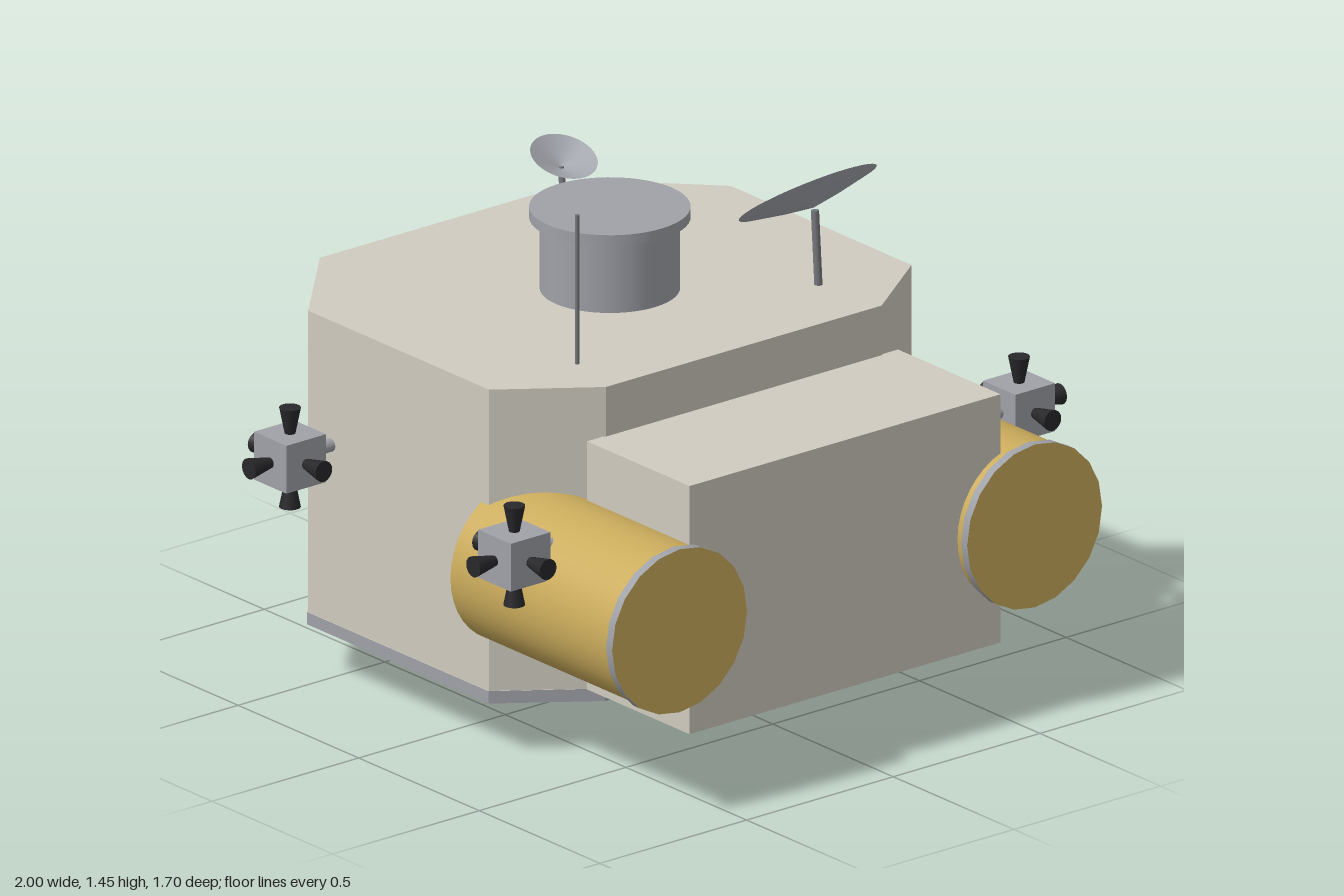
import * as THREE from 'three';

const mat = (color, side = THREE.FrontSide) => new THREE.MeshStandardMaterial({ color, side });

export function createModel() {
  const model = new THREE.Group();
  const hull = mat(0xcfcbbf), grey = mat(0x9fa1a8), gold = mat(0xcbac5c);
  const dark = mat(0x28282b), metal = mat(0x77787c);
  const dishMat = mat(0xa6a8b0, THREE.DoubleSide), bellMat = mat(0x303033, THREE.DoubleSide);

  const add = (name, geometry, material, x = 0, y = 0, z = 0, parent = model) => {
    const mesh = new THREE.Mesh(geometry, material);
    mesh.name = name;
    mesh.position.set(x, y, z);
    parent.add(mesh);
    return mesh;
  };
  const box = (w, h, d) => new THREE.BoxGeometry(w, h, d);
  const cyl = (top, bottom, h, sides = 32) => new THREE.CylinderGeometry(top, bottom, h, sides);
  const up = new THREE.Vector3(0, 1, 0);

  // Cylinder running between two points
  const rod = (name, a, b, r, material) => {
    const from = new THREE.Vector3(...a), to = new THREE.Vector3(...b);
    const dir = to.clone().sub(from);
    const mesh = add(name, cyl(r, r, dir.length(), 12), material);
    mesh.position.copy(from).addScaledVector(dir, 0.5);
    mesh.quaternion.setFromUnitVectors(up, dir.normalize());
  };

  // Eight-sided cabin, extruded upwards; shape y maps to -z
  const half = [[0.45, 0.83], [0.72, 0.55], [0.72, -0.2], [0.47, -0.38]];
  const outline = [...half, ...half.map(([x, y]) => [-x, y]).reverse()];
  const prism = (height, grow) => {
    const points = outline.map(([x, y]) => new THREE.Vector2(x * grow, y * grow));
    const g = new THREE.ExtrudeGeometry(new THREE.Shape(points), { depth: height, bevelEnabled: false });
    return g.rotateX(-Math.PI / 2);
  };
  add('cabin', prism(0.87, 1), hull, 0, 0.16, 0);
  add('lowerRim', prism(0.035, 1.003), [hull, grey], 0, 0.145, 0);
  add('frontBay', box(1.06, 0.7, 0.425), hull, 0, 0.54, 0.5875);

  // Tanks at either side of the front bay
  for (const s of [1, -1]) {
    const tank = new THREE.Group();
    tank.name = s > 0 ? 'leftTank' : 'rightTank';
    tank.position.set(s * 0.605, 0.515, 0);
    model.add(tank);
    add('tankShell', cyl(0.222, 0.222, 0.66, 40), gold, 0, 0, 0.5, tank).rotation.x = Math.PI / 2;
    add('tankCap', cyl(0.23, 0.23, 0.025, 20), [grey, gold, grey], 0, 0, 0.8375, tank).rotation.x = Math.PI / 2;
  }

  // Thruster clusters: a block, an inward arm and five flared nozzles
  const nozzleDirs = [[1, 0, 0], [0, 1, 0], [0, -1, 0], [0, 0, 1], [0, 0, -1]];
  for (const s of [1, -1]) {
    for (const z of [0.475, -0.455]) {
      const cluster = new THREE.Group();
      cluster.name = (z > 0 ? 'front' : 'rear') + (s > 0 ? 'Left' : 'Right') + 'Thrusters';
      cluster.position.set(s * 0.86, 0.68, z);
      model.add(cluster);
      add('thrusterBlock', box(0.135, 0.135, 0.135), grey, 0, 0, 0, cluster);
      add('thrusterArm', cyl(0.018, 0.018, 0.14, 12), grey, -s * 0.1, 0, 0, cluster).rotation.z = Math.PI / 2;
      for (const [dx, dy, dz] of nozzleDirs) {
        const dir = new THREE.Vector3(dx * s, dy, dz);
        const nozzle = add('thrusterNozzle', cyl(0.029, 0.014, 0.075, 16), dark, 0, 0, 0, cluster);
        nozzle.position.copy(dir).multiplyScalar(0.1025);
        nozzle.quaternion.setFromUnitVectors(up, dir);
      }
    }
  }

  // Docking collar on the roof
  add('dockingCollar', cyl(0.185, 0.185, 0.22, 48), grey, 0, 1.13, -0.175);
  add('dockingLid', cyl(0.213, 0.213, 0.03, 48), grey, 0, 1.245, -0.175);

  // Shallow dishes on posts, and a whip antenna
  const dish = (name, r, depth, x, y, z, tilt) => {
    const profile = [[0.001, -depth], [r * 0.5, -depth * 0.55], [r, 0]].map(p => new THREE.Vector2(...p));
    add(name, new THREE.LatheGeometry(profile, 40), dishMat, x, y, z).rotation.x = tilt;
  };
  dish('largeDish', 0.196, 0.042, 0.44, 1.275, 0.11, -0.623);
  rod('largeDishPost', [0.44, 1.02, 0.155], [0.44, 1.235, 0.14], 0.011, metal);
  dish('smallDish', 0.092, 0.038, 0.23, 1.205, -0.645, 0.38);
  rod('smallDishPost', [0.23, 1.02, -0.635], [0.23, 1.172, -0.659], 0.009, metal);
  rod('whipAntenna', [-0.42, 1.02, 0.2], [-0.42, 1.45, 0.2], 0.006, metal);

  // Engine bell beneath the cabin
  const bell = [[0.205, 0], [0.17, 0.04], [0.135, 0.095], [0.105, 0.15]].map(p => new THREE.Vector2(...p));
  add('engineBell', new THREE.LatheGeometry(bell, 40), bellMat, 0, 0, -0.08);

  // Triangular windows and hatch on the back wall
  for (const s of [1, -1]) {
    const tri = new THREE.Shape([[0.06, 0.955], [0.39, 0.955], [0.06, 0.61]].map(([x, y]) => new THREE.Vector2(s * x, y)));
    const pane = new THREE.ExtrudeGeometry(tri, { depth: 0.012, bevelEnabled: false });
    add(s > 0 ? 'leftWindow' : 'rightWindow', pane, dark, 0, 0, -0.839);
  }
  add('hatchFrame', box(0.37, 0.375, 0.025), grey, 0, 0.398, -0.8365);
  add('hatchPanel', box(0.26, 0.28, 0.02), dark, 0, 0.4, -0.842);

  return model;
}
